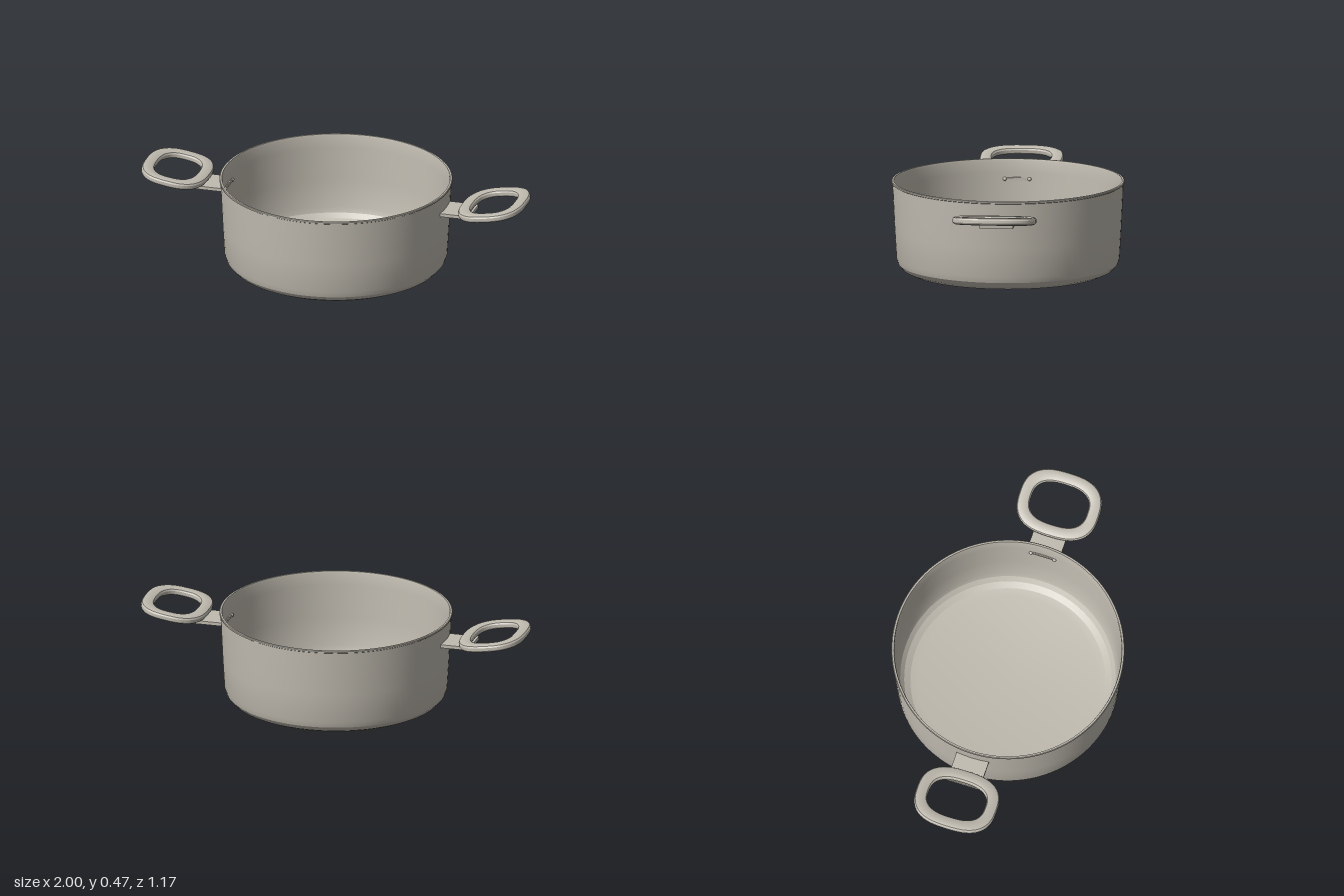
import * as THREE from 'three';
import { toCreasedNormals } from 'three/addons/utils/BufferGeometryUtils.js';

// Rounded-oblong point: half sizes a (x) and b (z), squareness n
function oblong(a, b, n, t) {
  const c = Math.cos(t), s = Math.sin(t);
  const k = Math.pow(Math.pow(Math.abs(c), n) + Math.pow(Math.abs(s), n), -1 / n);
  return [a * k * c, b * k * s];
}

// Closed ring lofted between an inner and an outer oblong, with bevelled edges
function gripGeometry() {
  const section = [ // [inner-to-outer fraction, height]
    [1, -0.007], [1, 0.007], [0.92, 0.015], [0.75, 0.019],
    [0.25, 0.019], [0.08, 0.015], [0, 0.007],
    [0, -0.007], [0.08, -0.015], [0.25, -0.019], [0.75, -0.019], [0.92, -0.015],
  ];
  const steps = 64, m = section.length, pos = [], index = [];
  for (let i = 0; i < steps; i++) {
    const t = (i / steps) * Math.PI * 2;
    const [ox, oz] = oblong(0.17, 0.21, 2.7, t);
    const [ix, iz] = oblong(0.108, 0.148, 2.7, t);
    for (const [f, y] of section) pos.push(ix + (ox - ix) * f, y, iz + (oz - iz) * f);
    const n = (i + 1) % steps;
    for (let j = 0; j < m; j++) {
      const k = (j + 1) % m;
      const a = i * m + j, b = i * m + k, c = n * m + k, d = n * m + j;
      index.push(a, b, d, b, c, d);
    }
  }
  const g = new THREE.BufferGeometry();
  g.setAttribute('position', new THREE.Float32BufferAttribute(pos, 3));
  g.setIndex(index);
  return toCreasedNormals(g, 0.4);
}

export function createModel() {
  const model = new THREE.Group();
  model.name = 'cookingPot';
  const steel = new THREE.MeshStandardMaterial({ color: 0xc0bbb0 });
  steel.name = 'brushed steel';

  function add(parent, name, geometry, x = 0, y = 0, z = 0) {
    const mesh = new THREE.Mesh(geometry, steel);
    mesh.name = name;
    mesh.position.set(x, y, z);
    parent.add(mesh);
    return mesh;
  }

  // Thin-walled body: outside, rolled lip, then inside down to the floor
  const profile = [
    [0, 0], [0.45, 0], [0.495, 0.008], [0.53, 0.025], [0.552, 0.05], [0.561, 0.08],
    [0.57, 0.23], [0.578, 0.4], [0.58, 0.458], [0.585, 0.461], [0.585, 0.468],
    [0.582, 0.471], [0.573, 0.471], [0.57, 0.46],
    [0.567, 0.4], [0.559, 0.23], [0.55, 0.085], [0.541, 0.057], [0.521, 0.034],
    [0.49, 0.018], [0.45, 0.011], [0, 0.011],
  ].map(([r, y]) => new THREE.Vector2(r, y));
  add(model, 'body', toCreasedNormals(new THREE.LatheGeometry(profile, 96), 0.3));

  // Two identical handles, one turned half way round
  const grip = gripGeometry();
  const tab = new THREE.BoxGeometry(0.16, 0.017, 0.17);
  const bar = new THREE.BoxGeometry(0.008, 0.012, 0.12);
  const rivet = new THREE.SphereGeometry(0.01, 16, 10);
  for (const side of [1, -1]) {
    const handle = new THREE.Group();
    handle.name = side > 0 ? 'leftHandle' : 'rightHandle';
    if (side < 0) handle.rotation.y = Math.PI;
    add(handle, 'grip', grip, 0.829, 0.422, 0).rotation.z = 0.15;
    add(handle, 'mountingTab', tab, 0.642, 0.369, 0);
    add(handle, 'innerBar', bar, 0.562, 0.369, 0);
    for (const z of [-0.062, 0.062]) add(handle, 'rivet', rivet, 0.561, 0.369, z);
    model.add(handle);
  }
  return model;
}
